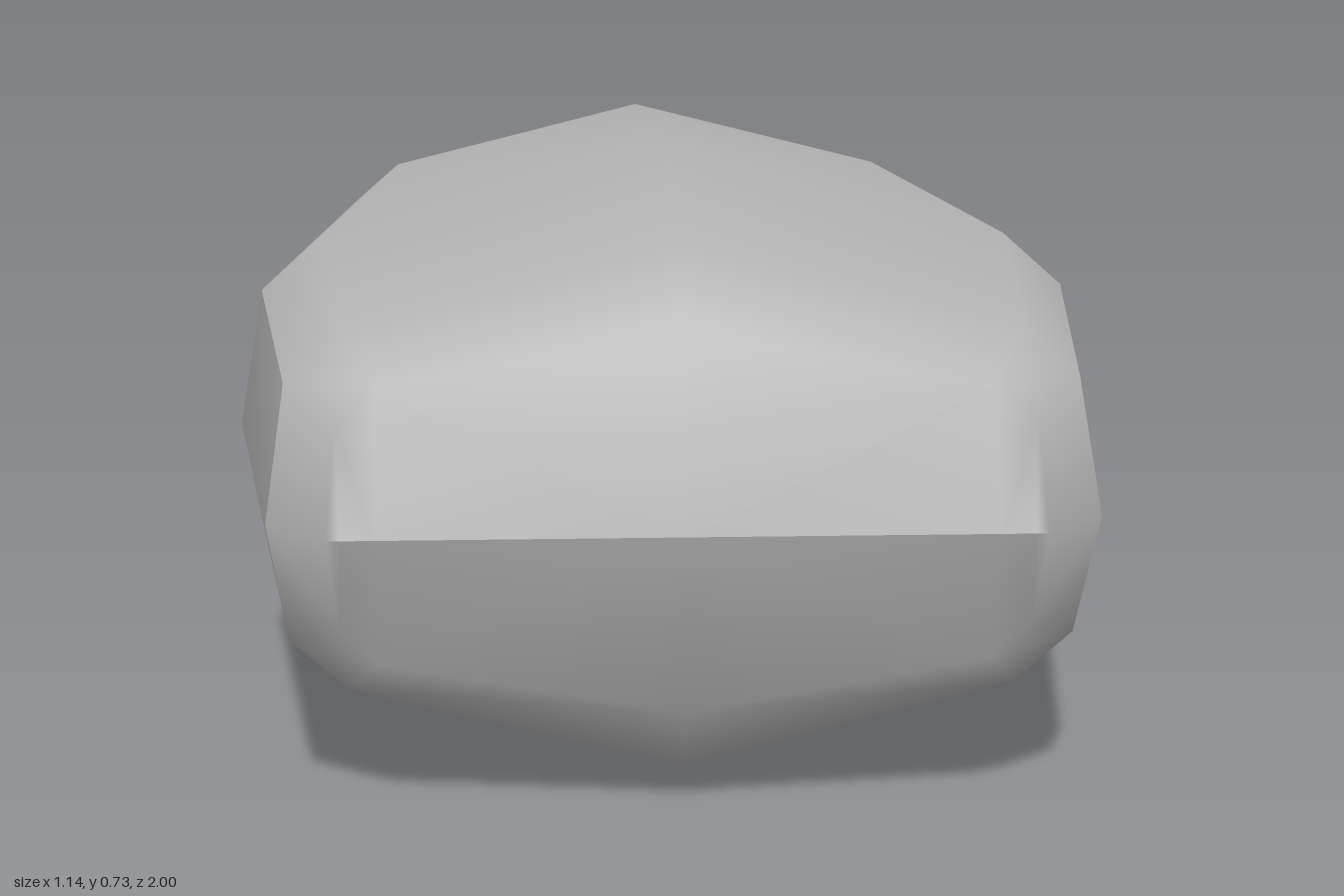
import * as THREE from 'three';

const MID_Y = 0.367;

// Expands a quarter section [top, corner, sideEdge, sideMiddle] to a ring of 12 points
function ring(quarter) {
  const [t, c, e, m] = quarter;
  const at = ([x, h, z], sx, sy) => [x * sx, MID_Y + h * sy, z];
  return [
    at(t, 1, 1), at(c, 1, 1), at(e, 1, 1), at(m, 1, 1), at(e, 1, -1), at(c, 1, -1),
    at(t, 1, -1), at(c, -1, -1), at(e, -1, -1), at(m, -1, 1), at(e, -1, 1), at(c, -1, 1),
  ];
}

// Skins the rings from front to back, keeping only the quads that pass the filter
function skin(sections, keep = () => true, flat = false) {
  const rings = sections.map(ring);
  const n = 12;
  const index = [];
  for (let i = 0; i < rings.length - 1; i++) {
    for (let j = 0; j < n; j++) {
      if (!keep(i, j)) continue;
      const a = i * n + j, b = i * n + (j + 1) % n;
      const c = b + n, d = a + n;
      // mirror the diagonal so both halves match
      if (j % 6 < 3) index.push(a, b, c, a, c, d);
      else index.push(a, b, d, b, c, d);
    }
  }
  let geometry = new THREE.BufferGeometry();
  geometry.setAttribute('position', new THREE.Float32BufferAttribute(rings.flat(2), 3));
  geometry.setIndex(index);
  if (flat) geometry = geometry.toNonIndexed();
  geometry.computeVertexNormals();
  return geometry;
}

// Quarter sections as [x, height above the middle, z]
const neck = [[0, 0.075, -0.83], [0.1, 0.065, -0.835], [0.11, 0.05, -0.84], [0.12, 0, -0.86]];
const bodySections = [
  [[0, 0, 1], [0.36, 0, 1], [0.4, 0, 1], [0.415, 0, 1]],
  [[0, 0.23, 0.94], [0.36, 0.165, 0.945], [0.405, 0.12, 0.955], [0.415, 0, 1]],
  [[0, 0.318, 0.87], [0.4, 0.218, 0.87], [0.47, 0.157, 0.87], [0.49, 0, 0.925]],
  [[0, 0.367, 0.36], [0.46, 0.25, 0.36], [0.54, 0.179, 0.36], [0.57, 0, 0.375]],
  [[0, 0.318, -0.635], [0.4, 0.218, -0.635], [0.47, 0.157, -0.635], [0.49, 0, -0.66]],
  [[0, 0.22, -0.715], [0.34, 0.155, -0.715], [0.4, 0.11, -0.72], [0.42, 0, -0.74]],
  neck,
];
const knotSections = [
  neck,
  [[0, 0.165, -0.91], [0.22, 0.113, -0.91], [0.24, 0.108, -0.912], [0.247, 0, -1]],
  [[0, 0, -1], [0.22, 0, -1], [0.24, 0, -1], [0.247, 0, -1]],
];

export function createModel() {
  const cloth = new THREE.MeshStandardMaterial({ color: 0xb4b4b4 });
  const group = new THREE.Group();
  group.name = 'sack';
  const add = (name, geometry) => {
    const mesh = new THREE.Mesh(geometry, cloth);
    mesh.name = name;
    group.add(mesh);
  };

  // Side panels have their own normals so that their borders stay crisp
  const leftPanel = (i, j) => (i === 2 || i === 3) && (j === 2 || j === 3);
  const rightPanel = (i, j) => (i === 2 || i === 3) && (j === 8 || j === 9);
  add('body', skin(bodySections, (i, j) => !leftPanel(i, j) && !rightPanel(i, j)));
  add('leftPanel', skin(bodySections, leftPanel));
  add('rightPanel', skin(bodySections, rightPanel));

  // Flared, tied end
  add('tiedEnd', skin(knotSections, undefined, true));
  return group;
}
